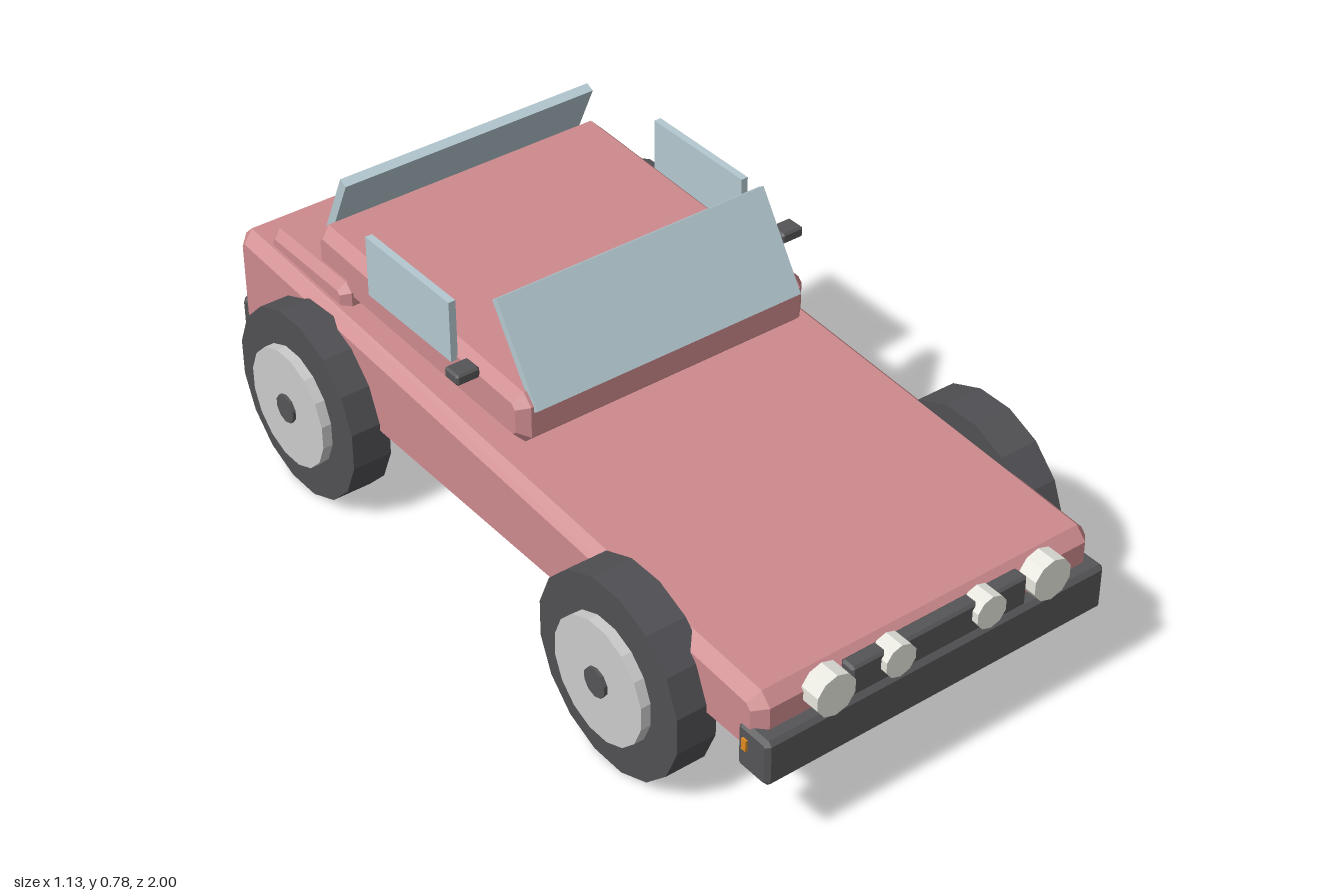
import * as THREE from 'three';

const mat = (color) => new THREE.MeshStandardMaterial({ color, flatShading: true });

// Extrudes a side profile of four [z, y] corners across x, with all edges chamfered by c
function chamferedGeometry(corners, width, c) {
  const pts = corners.map(([z, y]) => new THREE.Vector2(z, y));
  const outline = [];
  pts.forEach((p, i) => {
    for (const q of [pts[(i + 3) % 4], pts[(i + 1) % 4]]) {
      outline.push(p.clone().add(q.clone().sub(p).setLength(c)));
    }
  });
  const geo = new THREE.ExtrudeGeometry(new THREE.Shape(outline), {
    depth: width - 2 * c, bevelEnabled: true, bevelSegments: 1,
    bevelSize: c, bevelThickness: c, bevelOffset: -c,
  });
  geo.translate(0, 0, c - width / 2);
  geo.rotateY(-Math.PI / 2);
  return geo;
}

// Chamfered box from sizes, centred on its own origin
function chamferedBox(w, h, d, c) {
  const z = d / 2, y = h / 2;
  return chamferedGeometry([[z, -y], [z, y], [-z, y], [-z, -y]], w, c);
}

export function createModel() {
  const car = new THREE.Group();
  car.name = 'car';
  const paint = mat(0xcc8a8d), glass = mat(0xb4c8d0), trim = mat(0x555557);
  const rubber = mat(0x505054), metal = mat(0xcccccc), lens = mat(0xe6e6de);
  const red = mat(0xb83a3a), orange = mat(0xe08a20);

  const add = (name, geo, material, x = 0, y = 0, z = 0, parent = car) => {
    const mesh = new THREE.Mesh(geo, material);
    mesh.name = name;
    mesh.position.set(x, y, z);
    parent.add(mesh);
    return mesh;
  };

  // Wedge body, cabin tub and rear deck
  add('body', chamferedGeometry([[0.955, 0.235], [0.955, 0.402], [-0.985, 0.507], [-0.985, 0.235]], 0.91, 0.028), paint);
  add('cabin', chamferedGeometry([[0.08, 0.465], [0.08, 0.594], [-0.727, 0.627], [-0.727, 0.488]], 0.79, 0.025), paint);
  add('rearDeck', chamferedGeometry([[-0.572, 0.45], [-0.572, 0.54], [-0.893, 0.54], [-0.893, 0.45]], 0.84, 0.02), paint);

  // Slanted front and rear glass
  add('windshield', new THREE.BoxGeometry(0.725, 0.256, 0.02), glass, 0, 0.664, 0.014).rotation.x = -0.577;
  add('rearWindow', new THREE.BoxGeometry(0.69, 0.206, 0.024), glass, 0, 0.65, -0.712).rotation.x = 0.43;

  // Bumpers and grille
  add('frontBumper', chamferedBox(0.92, 0.117, 0.098, 0.01), trim, 0, 0.261, 0.941);
  add('rearBumper', chamferedBox(0.9, 0.083, 0.075, 0.01), trim, 0, 0.264, -0.957);
  add('grille', chamferedBox(0.475, 0.078, 0.04, 0.006), trim, 0, 0.357, 0.962);

  const lampGeo = (r) => new THREE.CylinderGeometry(r, r, 0.05, 10).rotateX(Math.PI / 2);
  const sideGlass = new THREE.BoxGeometry(0.018, 0.155, 0.322);
  const mirror = chamferedBox(0.06, 0.028, 0.05, 0.005);
  const tailLamp = chamferedBox(0.155, 0.065, 0.03, 0.004);

  // Sixteen-sided wheel parts, lying along x with a flat side down
  const disc = (r, w, sides) => new THREE.CylinderGeometry(r, r, w, sides)
    .rotateY(Math.PI / sides).rotateZ(Math.PI / 2);
  const tyre = disc(0.239, 0.1, 16), rim = disc(0.15, 0.1, 16), hub = disc(0.036, 0.1, 10);

  for (const s of [1, -1]) {
    const side = s > 0 ? 'left' : 'right';
    add(side + 'SideWindow', sideGlass, glass, s * 0.401, 0.647, -0.321);
    add(side + 'Mirror', mirror, trim, s * 0.446, 0.615, -0.063);
    add(side + 'Headlight', lampGeo(0.052), lens, s * 0.293, 0.368, 0.974);
    add(side + 'FogLight', lampGeo(0.041), lens, s * 0.123, 0.368, 0.974);
    add(side + 'TailLight', tailLamp, red, s * 0.313, 0.428, -0.984);
    add(side + 'Indicator', new THREE.BoxGeometry(0.012, 0.028, 0.014), orange, s * 0.46, 0.275, 0.921);

    for (const [end, z] of [['Front', 0.556], ['Rear', -0.631]]) {
      const wheel = new THREE.Group();
      wheel.name = side + end + 'Wheel';
      wheel.position.set(s * 0.48, 0.2345, z);
      add('tyre', tyre, rubber, 0, 0, 0, wheel);
      add('rim', rim, metal, s * 0.025, 0, 0, wheel);
      add('hub', hub, trim, s * 0.033, 0, 0, wheel);
      car.add(wheel);
    }
  }
  return car;
}
